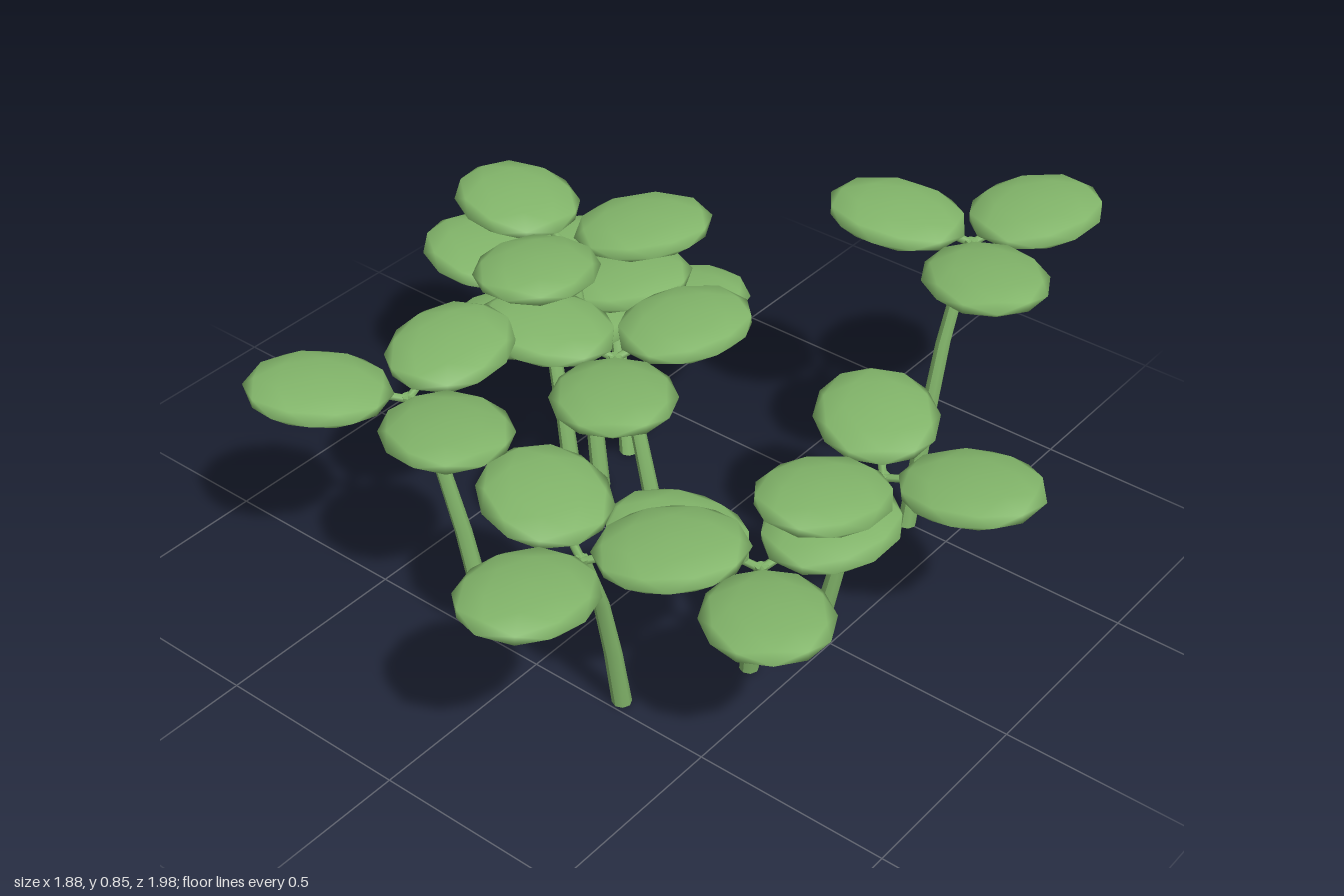
import * as THREE from 'three';

const green = new THREE.MeshStandardMaterial({ color: 0x82b56a });
green.name = 'leafGreen';

// Each plant: stem base [x, z], stem tip [x, y, z], leaf height, three leaf centres [x, z]
const plants = [
  { base: [0.38, -0.5], tip: [0.41, 0.79, -0.65], y: 0.81, leaves: [[0.475, -0.83], [0.22, -0.61], [0.545, -0.5]] },
  { base: [0.43, -0.06], tip: [0.555, 0.48, -0.1], y: 0.505, leaves: [[0.43, -0.25], [0.76, -0.155], [0.515, 0.08]] },
  { base: [0.4, 0.19], tip: [0.5, 0.43, 0.29], y: 0.45, leaves: [[0.3, 0.34], [0.63, 0.44], [0.555, 0.1]] },
  { base: [0.24, 0.47], tip: [0.26, 0.54, 0.62], y: 0.57, leaves: [[0.415, 0.505], [0.275, 0.815], [0.08, 0.535]] },
  { base: [-0.28, 0.39], tip: [-0.39, 0.6, 0.48], y: 0.62, leaves: [[-0.205, 0.545], [-0.55, 0.61], [-0.43, 0.29]] },
  { base: [0, 0.02], tip: [-0.14, 0.58, 0.03], y: 0.605, leaves: [[-0.01, 0.19], [-0.07, -0.15], [-0.32, 0.07]] },
  { base: [-0.33, -0.13], tip: [-0.46, 0.67, -0.17], y: 0.7, leaves: [[-0.665, -0.215], [-0.335, -0.315], [-0.41, 0]] },
  { base: [-0.43, -0.13], tip: [-0.56, 0.49, -0.17], y: 0.51, leaves: [[-0.775, -0.2], [-0.5, 0.01], [-0.41, -0.33]] },
  { base: [-0.37, -0.29], tip: [-0.49, 0.4, -0.37], y: 0.415, leaves: [[-0.67, -0.46], [-0.33, -0.47], [-0.48, -0.21]] },
];

// Flattened faceted ball with smooth normals, longest along z
const leafGeometry = new THREE.IcosahedronGeometry(1, 1).scale(0.152, 0.036, 0.176);

function addMesh(parent, geometry, name) {
  const mesh = new THREE.Mesh(geometry, green);
  mesh.name = name;
  parent.add(mesh);
  return mesh;
}

// Tapered cylinder whose rings follow a bent path
function stemGeometry([bx, bz], tip) {
  const height = tip[1];
  const geo = new THREE.CylinderGeometry(0.016, 0.024, height, 8, 3);
  geo.translate(0, height / 2, 0);
  const pos = geo.attributes.position;
  for (let i = 0; i < pos.count; i++) {
    const t = pos.getY(i) / height;
    const shift = t < 0.5 ? t * 0.7 : 0.4 * t + 0.6 * t * t;
    pos.setX(i, pos.getX(i) + bx + (tip[0] - bx) * shift);
    pos.setZ(i, pos.getZ(i) + bz + (tip[2] - bz) * shift);
  }
  geo.computeVertexNormals();
  return geo;
}

export function createModel() {
  const model = new THREE.Group();
  model.name = 'leafPatch';
  plants.forEach((p) => {
    const plant = new THREE.Group();
    plant.name = 'plant';
    model.add(plant);
    addMesh(plant, stemGeometry(p.base, p.tip), 'stem');
    const tip = new THREE.Vector3(...p.tip);

    p.leaves.forEach(([x, z]) => {
      // Leaf points away from the stem, with its outer end slightly raised
      const leaf = addMesh(plant, leafGeometry, 'leaf');
      leaf.position.set(x, p.y, z);
      leaf.rotation.order = 'YXZ';
      leaf.rotation.y = Math.atan2(x - tip.x, z - tip.z);
      leaf.rotation.x = -0.08;

      // Short stalk joining leaf and stem
      const end = tip.clone().lerp(leaf.position, 0.4);
      const path = new THREE.LineCurve3(tip.clone().setY(tip.y - 0.01), end);
      addMesh(plant, new THREE.TubeGeometry(path, 1, 0.01, 6), 'stalk');
    });
  });
  return model;
}
